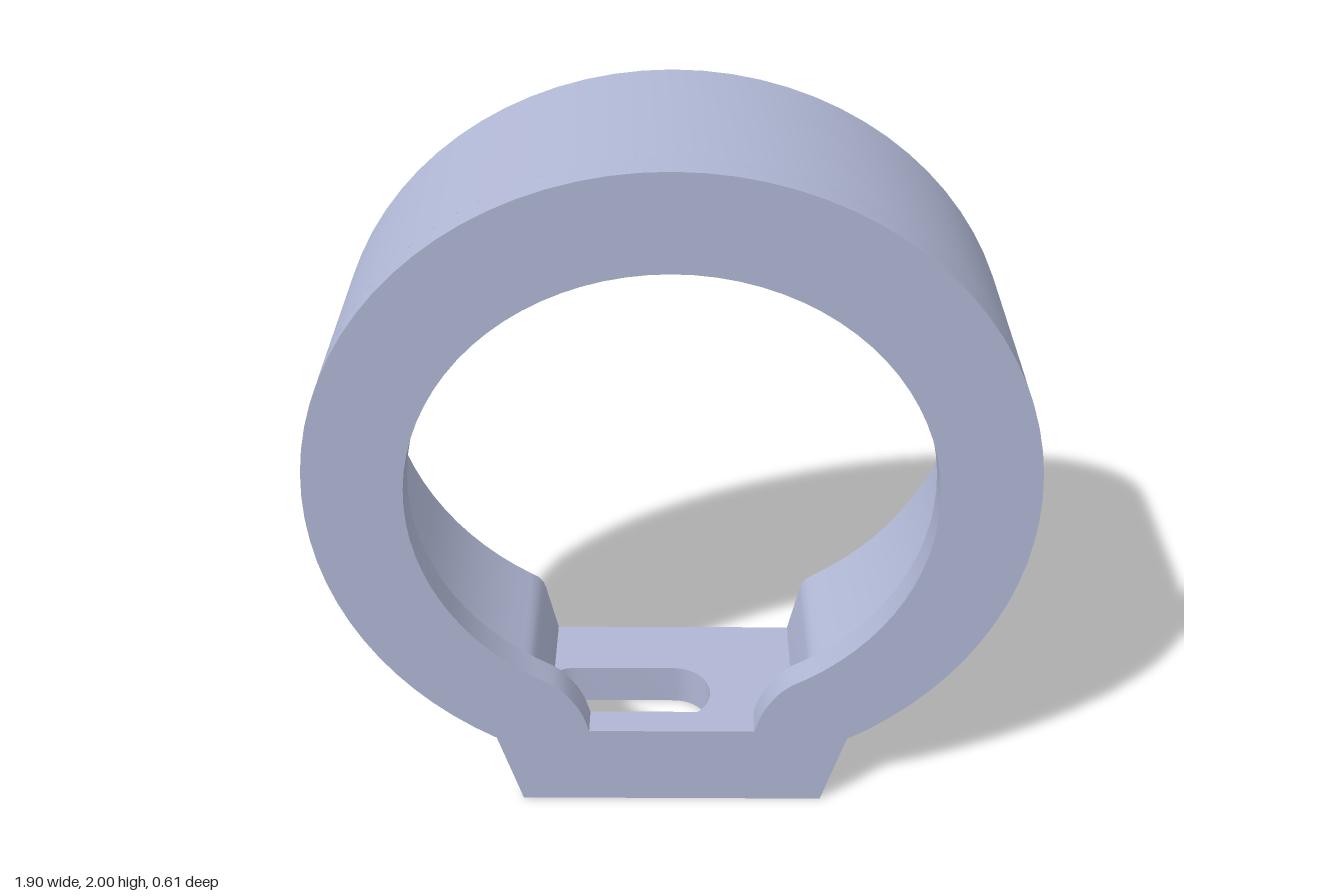
import * as THREE from 'three';
import { toCreasedNormals } from 'three/addons/utils/BufferGeometryUtils.js';

const CY = 1.05;                    // ring centre height
const R = 0.95, RC = 0.825, RL = 0.69; // outer, cavity and lip radii
const BACK = -0.305, STEP = 0.225, FRONT = 0.305;
const FLOOR = 0.135;                // cavity floor height
const BAND = 0.14;                  // height of the slotted wall bands above CY
const FOOT = Math.atan2(-0.808, 0.5);  // where the ring meets the foot
const footX = y => 0.435 + 0.27 * y;   // slanted foot side

const arc = (r, a, b, n) => Array.from({ length: n + 1 }, (_, i) => {
  const t = a + (b - a) * i / n;
  return [r * Math.cos(t), CY + r * Math.sin(t)];
});
const mirror = pts => pts.map(([x, y]) => [-x, y]);
const vecs = pts => pts.map(([x, y]) => new THREE.Vector2(x, y));

// Stadium-shaped opening
function slot(x0, x1, y, r) {
  const p = new THREE.Path();
  p.absarc(x1, y, r, -Math.PI / 2, Math.PI / 2, false);
  p.absarc(x0, y, r, Math.PI / 2, Math.PI * 1.5, false);
  p.closePath();
  return p;
}

function extrude(shape, z0, z1) {
  const g = new THREE.ExtrudeGeometry(shape, { depth: z1 - z0, bevelEnabled: false, curveSegments: 14 });
  return g.translate(0, 0, z0);
}

export function createModel() {
  const group = new THREE.Group();
  const material = new THREE.MeshStandardMaterial({ color: 0xb0b7d4 });
  material.name = 'paleBlueGrey';
  const add = (name, g) => {
    const mesh = new THREE.Mesh(toCreasedNormals(g, 0.45), material);
    mesh.name = name;
    group.add(mesh);
  };

  // Front lip with its keyhole opening
  const lip = new THREE.Shape(vecs([
    ...arc(R, FOOT, Math.PI - FOOT, 68), [-footX(0), 0], [footX(0), 0],
  ]));
  const neck = [[0.235, 0.27], [0.25, 0.325], [0.265, 0.36], [0.283, 0.39], [0.306, 0.422]];
  const lipEnd = Math.atan2(-0.603, 0.335);
  lip.holes.push(new THREE.Path(vecs([
    ...neck, ...arc(RL, lipEnd, Math.PI - lipEnd, 68), ...mirror(neck).reverse(),
  ])));
  add('frontLip', extrude(lip, STEP, FRONT));

  // Upper arch of the wall behind the lip
  const ao = Math.asin(BAND / R), ai = Math.asin(BAND / RC);
  const arch = [...arc(R, ao, Math.PI - ao, 36), ...arc(RC, Math.PI - ai, ai, 36)];
  add('upperWall', extrude(new THREE.Shape(vecs(arch)), BACK, STEP));

  // Lower walls running down into the foot
  const leg = [
    ...arc(R, 0, FOOT, 14), [footX(FLOOR), FLOOR],
    [0.365, FLOOR], [0.398, 0.295], [0.405, 0.318], [0.419, 0.338],
    ...arc(RC, Math.atan2(-0.698, 0.44), 0, 14),
  ];
  add('leftLowerWall', extrude(new THREE.Shape(vecs(leg)), BACK, STEP));
  add('rightLowerWall', extrude(new THREE.Shape(vecs(mirror(leg))), BACK, STEP));

  // Slotted wall bands, bent onto the ring
  for (const s of [1, -1]) {
    const shape = new THREE.Shape(vecs([
      [-s * BACK, CY], [-s * STEP, CY], [-s * STEP, CY + BAND], [-s * BACK, CY + BAND],
    ]));
    shape.holes.push(slot(-0.133, 0.133, 1.12, 0.057));
    const g = extrude(shape, 0, 1);
    const p = g.attributes.position;
    for (let i = 0; i < p.count; i++) {
      const y = p.getY(i), r = p.getZ(i) > 0.5 ? R : RC;
      p.setXYZ(i, s * Math.sqrt(r * r - (y - CY) ** 2), y, -s * p.getX(i));
    }
    add(s > 0 ? 'leftSlottedWall' : 'rightSlottedWall', g);
  }

  // Foot slab with an off-centre slot through its floor
  const x = footX(0);
  const slab = new THREE.Shape(vecs([[-x, -STEP], [x, -STEP], [x, -BACK], [-x, -BACK]]));
  slab.holes.push(slot(-0.3, 0.005, 0, 0.11));
  const foot = extrude(slab, 0, FLOOR).rotateX(-Math.PI / 2);
  const p = foot.attributes.position;
  for (let i = 0; i < p.count; i++) {
    if (Math.abs(p.getX(i)) > x - 0.001) p.setX(i, Math.sign(p.getX(i)) * footX(p.getY(i)));
  }
  add('foot', foot);

  return group;
}
